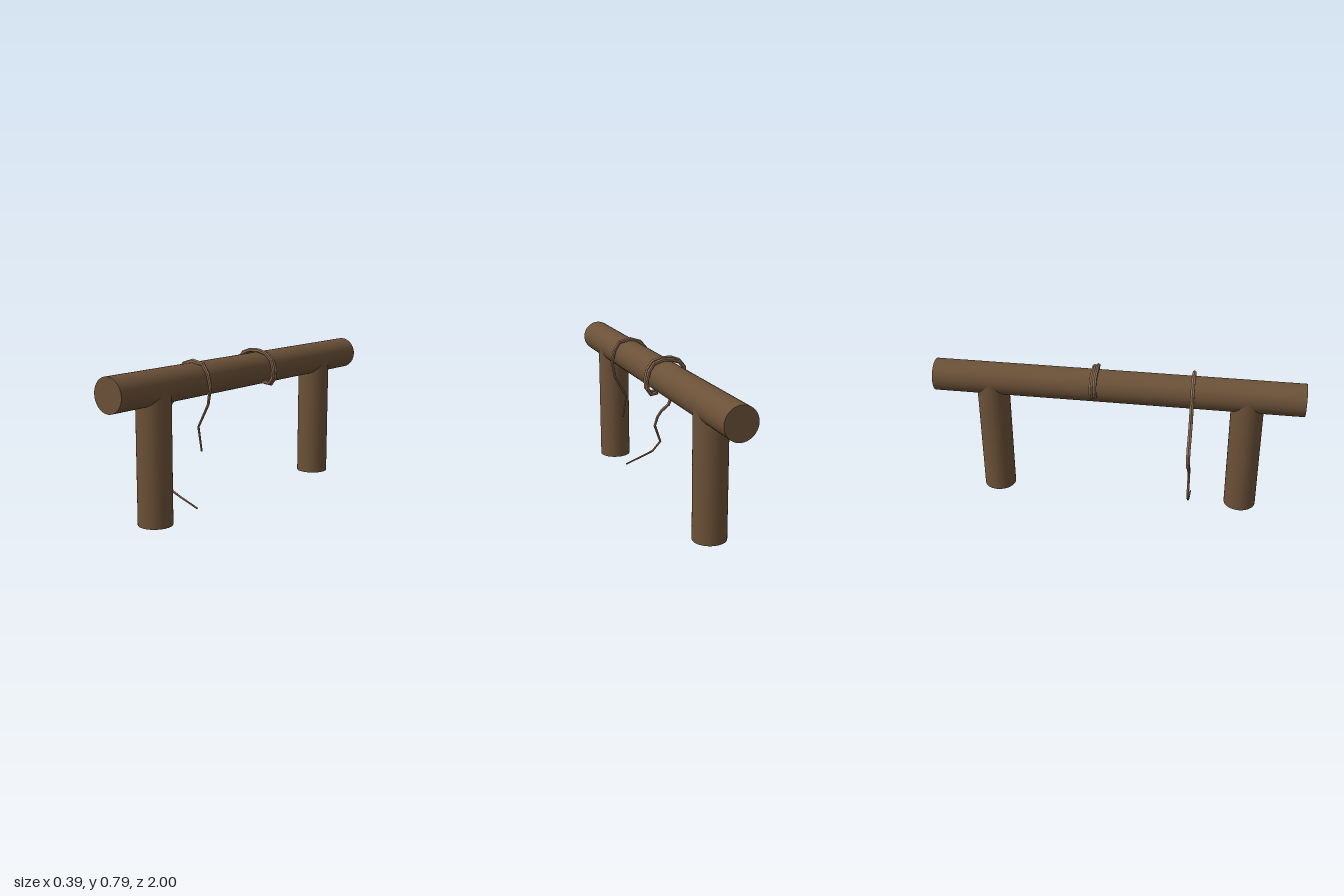
import * as THREE from 'three';

const AXIS_X = 0.07, AXIS_Y = 0.682, RADIUS = 0.0875;

// Angular rope swept along [x, y, z, radius] points lying roughly in an XY plane
function ropeGeometry(path, sides = 6) {
  const pts = path.map(([x, y, z]) => new THREE.Vector3(x, y, z));
  const Z = new THREE.Vector3(0, 0, 1);
  const pos = [], index = [], last = pts.length - 1;
  pts.forEach((p, i) => {
    const dirIn = pts[Math.max(i, 1)].clone().sub(pts[Math.max(i, 1) - 1]).normalize();
    const k = Math.min(i, last - 1);
    const dirOut = pts[k + 1].clone().sub(pts[k]).normalize();
    const n = new THREE.Vector3().crossVectors(Z, dirIn.add(dirOut)).normalize();
    for (let j = 0; j < sides; j++) {
      const a = (j / sides) * Math.PI * 2, r = path[i][3];
      const v = p.clone().addScaledVector(n, Math.cos(a) * r).addScaledVector(Z, Math.sin(a) * r);
      pos.push(v.x, v.y, v.z);
    }
  });
  for (let i = 0; i < last; i++) {
    for (let j = 0; j < sides; j++) {
      const a = i * sides + j, b = i * sides + ((j + 1) % sides);
      index.push(a, b, a + sides, b, b + sides, a + sides);
    }
  }
  // End caps
  const e = last * sides;
  for (let j = 1; j < sides - 1; j++) index.push(0, j + 1, j, e, e + j, e + j + 1);
  const g = new THREE.BufferGeometry();
  g.setAttribute('position', new THREE.Float32BufferAttribute(pos, 3));
  g.setIndex(index);
  g.computeVertexNormals();
  return g;
}

export function createModel() {
  const group = new THREE.Group();
  const wood = new THREE.MeshStandardMaterial({ color: 0x6b5138 });
  const rope = new THREE.MeshStandardMaterial({ color: 0x8a6b52, flatShading: true });
  const add = (name, geometry, material) => {
    const mesh = new THREE.Mesh(geometry, material);
    mesh.name = name;
    group.add(mesh);
    return mesh;
  };

  // Horizontal log
  const beam = add('beam', new THREE.CylinderGeometry(RADIUS, RADIUS, 2, 40), wood);
  beam.rotation.x = Math.PI / 2;
  beam.position.set(AXIS_X, AXIS_Y, 0);

  // Upright logs, ending inside the beam
  for (const [name, z] of [['frontPost', 0.7], ['backPost', -0.685]]) {
    const post = add(name, new THREE.CylinderGeometry(RADIUS, RADIUS, AXIS_Y, 40), wood);
    post.position.set(AXIS_X, AXIS_Y / 2, z);
  }

  // Long rope draped over the beam, thinning towards both loose ends
  const drape = [
    [0.12, 0.32], [0.10, 0.444], [0.165, 0.565], [0.181, 0.655], [0.165, 0.72],
    [0.135, 0.766], [0.07, 0.777], [0.01, 0.757], [-0.02, 0.72], [-0.035, 0.67],
    [-0.066, 0.565], [-0.11, 0.51], [-0.16, 0.475], [-0.187, 0.44], [-0.187, 0.40],
    [-0.17, 0.36], [-0.125, 0.325], [-0.10, 0.29], [-0.083, 0.237], [-0.118, 0.135],
    [-0.068, 0.081], [-0.02, 0.062], [0.10, 0.02],
  ].map(([x, y], i, all) => {
    const t = i / (all.length - 1);
    return [x, y, 0.405 + 0.015 * t, 0.005 + 0.007 * Math.min(1, 4 * t, 2.5 * (1 - t))];
  });
  add('drapedRope', ropeGeometry(drape), rope);

  // Two strands looped over the middle of the beam, ends tucked into the wood
  const loop = [
    [0.12, 0.61], [0.158, 0.605], [0.178, 0.635], [0.182, 0.68], [0.168, 0.73],
    [0.138, 0.765], [0.09, 0.779], [0.035, 0.777], [-0.01, 0.76], [-0.035, 0.73],
    [-0.038, 0.695], [-0.022, 0.66], [0.02, 0.64],
  ];
  [[-0.105, 0.003], [-0.125, -0.003]].forEach(([z, lift], s) => {
    const path = loop.map(([x, y]) => [
      x + (x - AXIS_X) * lift, y + lift, z - 0.12 * Math.max(0, x - 0.05) * (y < 0.75 ? 1 : 0.5), 0.011,
    ]);
    add('loopStrand' + (s + 1), ropeGeometry(path), rope);
  });

  return group;
}
